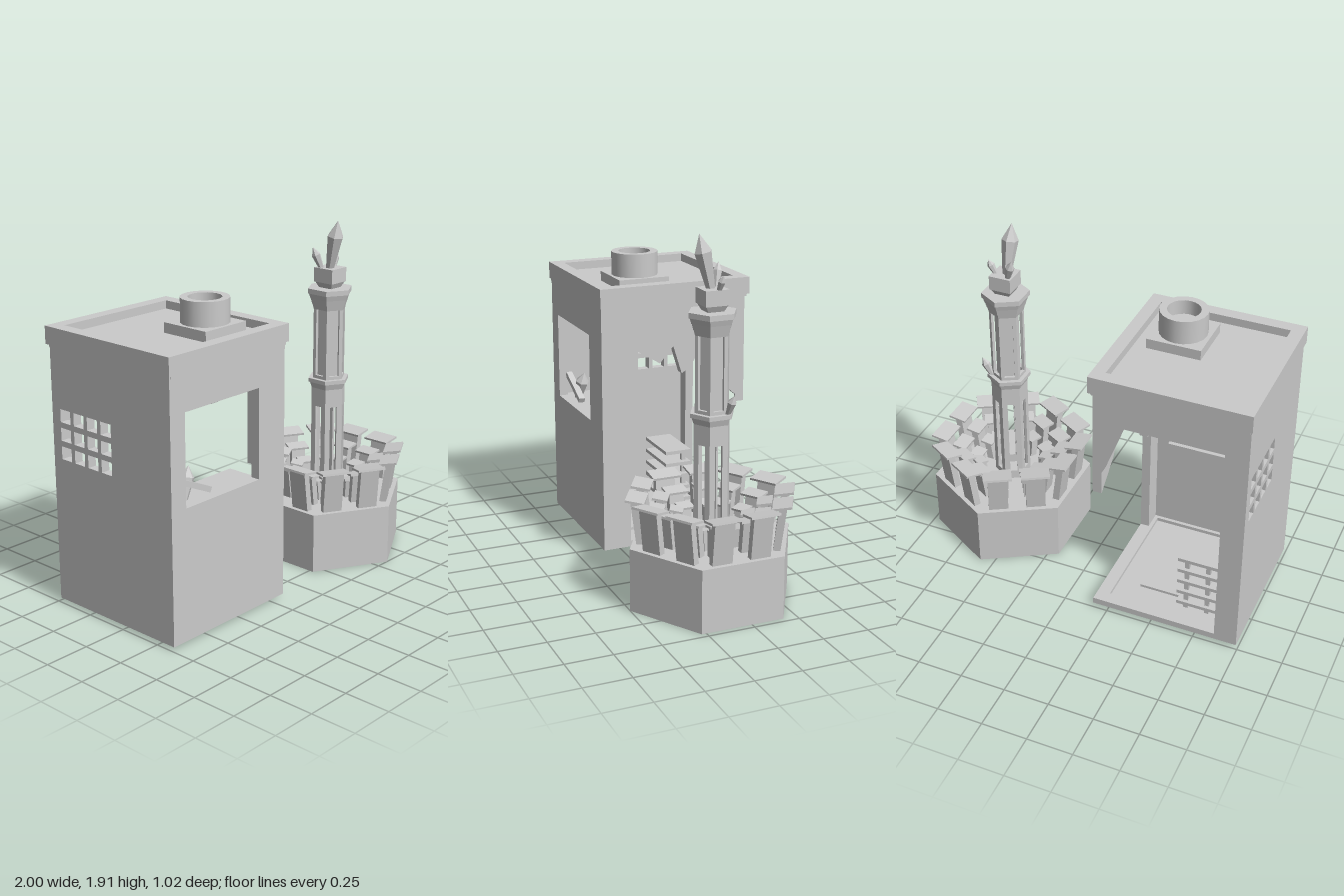
import * as THREE from 'three';

const mat = new THREE.MeshStandardMaterial({ color: 0xcccccc, flatShading: true });
const smooth = new THREE.MeshStandardMaterial({ color: 0xcccccc });

function add(parent, name, geo, x = 0, y = 0, z = 0, m = mat) {
  const mesh = new THREE.Mesh(geo, m);
  mesh.name = name;
  mesh.position.set(x, y, z);
  parent.add(mesh);
  return mesh;
}
// box from min/max limits
function box(parent, name, x0, x1, y0, y1, z0, z1) {
  return add(parent, name, new THREE.BoxGeometry(x1 - x0, y1 - y0, z1 - z0),
    (x0 + x1) / 2, (y0 + y1) / 2, (z0 + z1) / 2);
}
const poly = (pts) => new THREE.Shape(pts.map(([a, b]) => new THREE.Vector2(a, b)));
const rect = (a0, a1, b0, b1) => [[a0, b0], [a1, b0], [a1, b1], [a0, b1]];
function plate(outline, holes, depth) {
  const s = poly(outline);
  s.holes = holes.map(poly);
  return new THREE.ExtrudeGeometry(s, { depth, bevelEnabled: false });
}
// wall drawn in (z, y), growing from outer x towards -x
const sideWall = (outline, holes, depth) => plate(outline, holes, depth).rotateY(-Math.PI / 2);
// flat ring drawn in (x, z), growing upwards
const flatRing = (x0, x1, z0, z1, w, h) =>
  plate(rect(x0, x1, -z1, -z0), [rect(x0 + w, x1 - w, -z1 + w, -z0 - w)], h).rotateX(-Math.PI / 2);
// six-sided prism or taper
function hex(parent, name, r0, r1, y0, y1) {
  return add(parent, name, new THREE.CylinderGeometry(r1, r0, y1 - y0, 6), 0, (y0 + y1) / 2, 0);
}
// pointed crystal from a base point to a tip
function crystal(parent, name, base, tip, r) {
  const a = new THREE.Vector3(...base), d = new THREE.Vector3(...tip).sub(a), h = d.length();
  const prof = [[0, 0], [r * 0.5, 0], [r, h * 0.68], [0, h]].map(([x, y]) => new THREE.Vector2(x, y));
  const m = add(parent, name, new THREE.LatheGeometry(prof, 6), a.x, a.y, a.z);
  m.quaternion.setFromUnitVectors(new THREE.Vector3(0, 1, 0), d.normalize());
  return m;
}

function createBooth() {
  const g = new THREE.Group();
  g.name = 'booth';
  const T = 0.05;

  // walls
  add(g, 'frontWall', plate(rect(-0.99, -0.165, 0.02, 1.42), [rect(-0.89, -0.36, 0.73, 1.22)], T), 0, 0, 0.31);
  add(g, 'backWall', plate([[-0.99, 0.02], [-0.865, 0.02], [-0.865, 1.24], [-0.33, 1.24],
    [-0.165, 0.8], [-0.165, 1.42], [-0.99, 1.42]], [], T), 0, 0, -0.49);
  add(g, 'brokenWall', sideWall([[0.36, 0.02], [0.36, 1.42], [-0.49, 1.42], [-0.49, 0.8], [-0.335, 0.93],
    [-0.27, 1.05], [-0.23, 1.14], [-0.16, 1.03], [-0.11, 1.0], [-0.06, 1.16], [0.02, 1.07],
    [0.15, 1.15], [0.15, 0.73], [0.2, 0.73], [0.2, 0.02]], [], T), -0.165, 0, 0);

  // lattice window in the closed side
  const panes = [];
  for (let c = 0; c < 4; c++) for (let r = 0; r < 3; r++) {
    const z = -0.43 + c * 0.1, y = 0.82 + r * 0.1;
    panes.push(rect(z, z + 0.075, y, y + 0.07));
  }
  add(g, 'latticeWall', sideWall(rect(-0.49, 0.36, 0.02, 1.42), panes, T), -0.99 + T, 0, 0);

  // floor with a low kerb and raised panel
  box(g, 'floor', -0.985, -0.17, 0.02, 0.035, -0.485, 0.355);
  add(g, 'floorKerb', flatRing(-0.99, -0.165, -0.49, 0.36, 0.07, 0.035), 0, 0.02, 0);
  box(g, 'floorPanel', -0.78, -0.36, 0.035, 0.05, -0.28, 0.15);

  // roof tray
  box(g, 'roofUnderside', -0.985, -0.16, 1.405, 1.42, -0.5, 0.365);
  box(g, 'roofSlab', -0.98, -0.165, 1.42, 1.47, -0.49, 0.35);
  add(g, 'roofRim', flatRing(-1, -0.145, -0.51, 0.37, 0.07, 0.095), 0, 1.42, 0);

  // roof vent
  box(g, 'ventBase', -0.58, -0.285, 1.47, 1.525, -0.085, 0.205);
  const pipe = [[0.128, 0], [0.128, 0.13], [0.128, 0.13], [0.088, 0.13], [0.088, 0.13], [0.088, 0.05], [0.088, 0.05], [0, 0.05]]
    .map(([x, y]) => new THREE.Vector2(x, y));
  add(g, 'ventPipe', new THREE.LatheGeometry(pipe, 20), -0.432, 1.525, 0.06, smooth);

  // counter and debris in the window
  box(g, 'counter', -0.93, -0.34, 0.7, 0.73, 0.14, 0.33);
  const plank = add(g, 'loosePlank', new THREE.BoxGeometry(0.245, 0.03, 0.035), -0.78, 0.805, 0.3);
  plank.rotation.z = -0.44;
  crystal(g, 'windowCrystal', [-0.82, 0.72, 0.27], [-0.76, 0.89, 0.25], 0.04);

  // slatted rack on the floor
  const rack = new THREE.Group();
  rack.name = 'slattedRack';
  for (let i = 0; i < 5; i++) box(rack, 'rackSlat', -0.92, -0.6, 0.07 + i * 0.075, 0.09 + i * 0.075, -0.36, -0.2);
  for (const x of [-0.9, -0.78, -0.66]) box(rack, 'rackPost', x, x + 0.025, 0.035, 0.39, -0.34, -0.315);
  g.add(rack);
  return g;
}

function createTower() {
  const g = new THREE.Group();
  g.name = 'tower';
  g.position.set(0.58, 0, 0.05);
  hex(g, 'plinth', 0.45, 0.45, 0, 0.338);

  // three rows of leaning seats along each side: radius, tile depth, tile width, tile height
  const rows = [[0.37, 0.1, 0.16, 0.57], [0.27, 0.08, 0.12, 0.51], [0.185, 0.07, 0.085, 0.45]];
  for (let k = 0; k < 6; k++) {
    const side = new THREE.Group();
    side.name = 'seatBlock';
    side.rotation.y = Math.PI / 6 + k * Math.PI / 3;
    for (const [r, d, w, top] of rows) for (const s of [-1, 1]) {
      const x = s * (0.025 + w / 2), h = top - 0.32;
      const post = add(side, 'seatPost', new THREE.BoxGeometry(w * 0.68, h, 0.038), x, 0.32 + h / 2, r - 0.01);
      post.rotation.x = 0.13;
      const tile = add(side, 'seatTop', new THREE.BoxGeometry(w, 0.012, d), x, top, r);
      tile.rotation.x = -0.16;
    }
    g.add(side);
  }

  // hollow shaft: six slotted panels per storey
  function storey(name, r, y0, y1, slot0, slot1, slotW) {
    const w = r / 2, ap = r * Math.cos(Math.PI / 6), t = 0.016;
    const geo = plate(rect(-w, w, y0, y1), [rect(-slotW / 2, slotW / 2, slot0, slot1)], t).translate(0, 0, ap - t);
    for (let k = 0; k < 6; k++) {
      add(g, name, geo).rotation.y = Math.PI / 6 + k * Math.PI / 3;
    }
  }
  storey('lowerPanel', 0.1, 0.33, 0.98, 0.39, 0.85, 0.04);
  storey('upperPanel', 0.094, 1.0, 1.44, 1.03, 1.41, 0.056);
  hex(g, 'upperCore', 0.065, 0.065, 1.0, 1.43);

  // middle ledge and stepped capital
  hex(g, 'ledgeTaper', 0.1, 0.112, 0.955, 0.99);
  hex(g, 'ledge', 0.12, 0.12, 0.99, 1.012);
  hex(g, 'capitalFoot', 0.094, 0.102, 1.41, 1.44);
  hex(g, 'capitalLower', 0.104, 0.112, 1.44, 1.47);
  hex(g, 'capitalUpper', 0.114, 0.124, 1.47, 1.5);
  hex(g, 'capitalTop', 0.13, 0.13, 1.5, 1.528);

  // finial block
  const neck = add(g, 'finialNeck', new THREE.CylinderGeometry(0.085, 0.06, 0.036, 4), 0, 1.545, 0);
  neck.rotation.y = Math.PI / 4;
  box(g, 'finialBlock', -0.062, 0.062, 1.56, 1.64, -0.064, 0.064);

  // crystals
  crystal(g, 'mainCrystal', [-0.01, 1.63, 0.005], [-0.02, 1.91, 0.065], 0.046);
  crystal(g, 'leftCrystal', [-0.03, 1.62, -0.03], [-0.075, 1.755, -0.065], 0.025);
  crystal(g, 'rightCrystal', [0.04, 1.62, -0.01], [0.085, 1.715, -0.02], 0.02);
  crystal(g, 'ledgeCrystal', [0.075, 1.0, -0.05], [0.125, 1.115, -0.065], 0.024);
  return g;
}

export function createModel() {
  const model = new THREE.Group();
  model.name = 'boothAndTower';
  model.add(createBooth(), createTower());
  return model;
}
